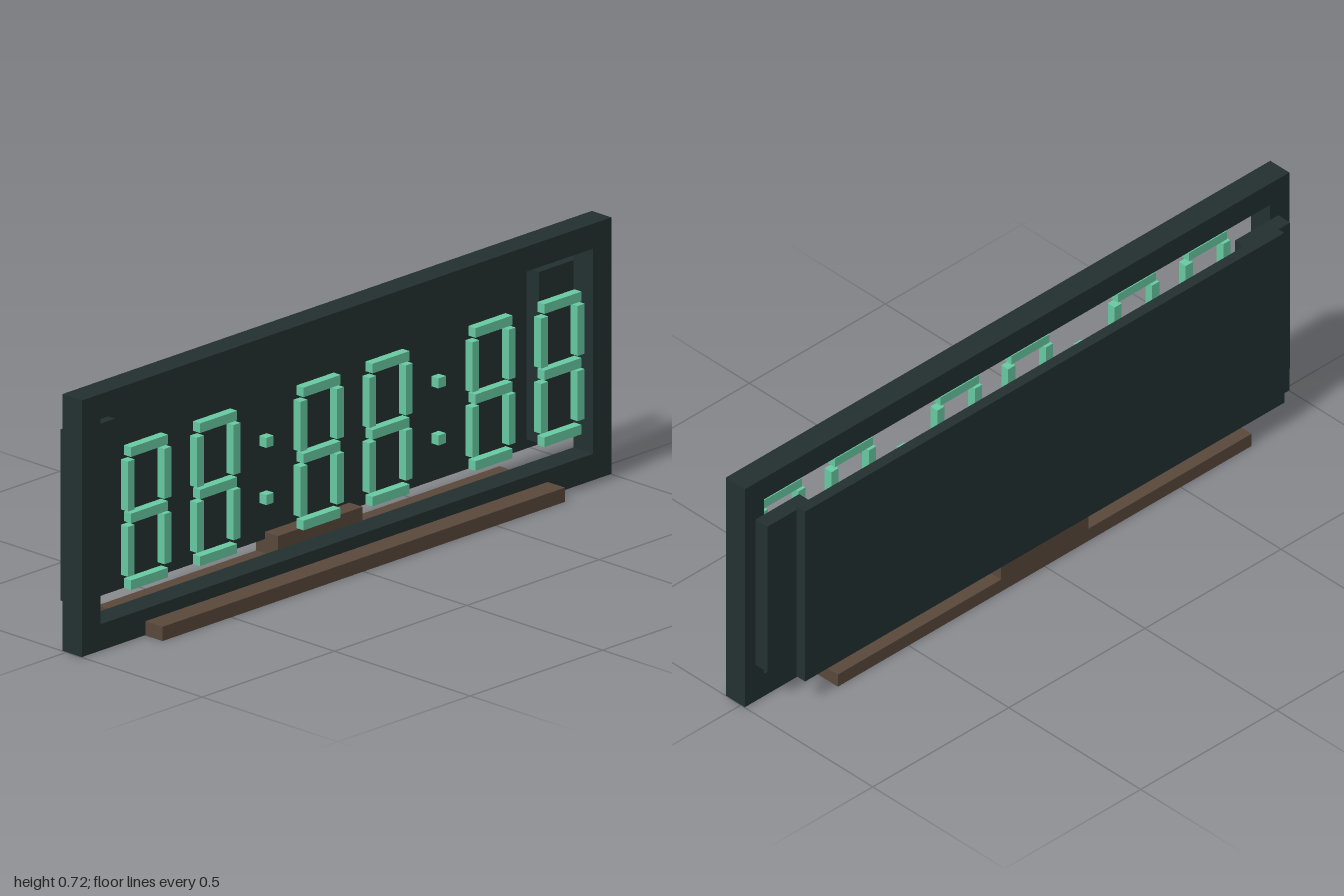
import * as THREE from 'three';

export function createModel() {
  const model = new THREE.Group();
  model.name = 'digitalClock';
  const mat = (name, color) => {
    const m = new THREE.MeshStandardMaterial({ color });
    m.name = name;
    return m;
  };
  const dark = mat('darkCasing', 0x233030);
  const brown = mat('brownStand', 0x5a483b);
  const mint = mat('mintLight', 0x68caa2);

  // Box from its lower and upper limits on each axis
  const box = (name, material, [x0, x1], [y0, y1], [z0, z1], parent = model) => {
    const mesh = new THREE.Mesh(new THREE.BoxGeometry(x1 - x0, y1 - y0, z1 - z0), material);
    mesh.position.set((x0 + x1) / 2, (y0 + y1) / 2, (z0 + z1) / 2);
    mesh.name = name;
    parent.add(mesh);
  };

  // Front frame with a rectangular opening, its foot a hair above the base's underside
  const rect = (p, x, y0, y1) => {
    p.moveTo(-x, y0).lineTo(x, y0).lineTo(x, y1).lineTo(-x, y1).closePath();
    return p;
  };
  const outline = rect(new THREE.Shape(), 1, 0.001, 0.72);
  outline.holes.push(rect(new THREE.Path(), 0.93, 0.075, 0.65));
  const frame = new THREE.Mesh(
    new THREE.ExtrudeGeometry(outline, { depth: 0.072, bevelEnabled: false }), dark);
  frame.position.z = -0.015;
  frame.name = 'frame';
  model.add(frame);

  // Back panel and the side blocks behind the frame
  box('backPanel', dark, [-0.88, 0.88], [0.08, 0.64], [-0.12, -0.088]);
  box('leftBlock', dark, [0.8, 0.96], [0.12, 0.6], [-0.06, -0.015]);
  box('rightBlock', dark, [-0.96, -0.8], [0.12, 0.6], [-0.06, -0.015]);

  // Stand
  box('base', brown, [-0.76, 0.76], [0, 0.04], [-0.12, 0.12]);
  box('baseSupport', brown, [-0.16, 0.16], [0.04, 0.1], [-0.12, -0.04]);

  // Seven-segment digits
  const depth = [0.068, 0.094];
  for (const x of [-0.782, -0.521, -0.13, 0.13, 0.519, 0.779]) {
    const digit = new THREE.Group();
    digit.name = 'digit';
    digit.position.x = x;
    for (const y of [0.16, 0.347, 0.533])
      box('horizontalSegment', mint, [-0.07, 0.07], [y, y + 0.027], depth, digit);
    for (const side of [-0.069, 0.069])
      for (const y of [0.2, 0.383])
        box('verticalSegment', mint, [side - 0.013, side + 0.013], [y, y + 0.14], depth, digit);
    model.add(digit);
  }

  // Colon dots
  for (const x of [-0.327, 0.323])
    for (const y of [0.281, 0.441])
      box('colonDot', mint, [x - 0.014, x + 0.014], [y - 0.014, y + 0.014], depth);

  return model;
}
